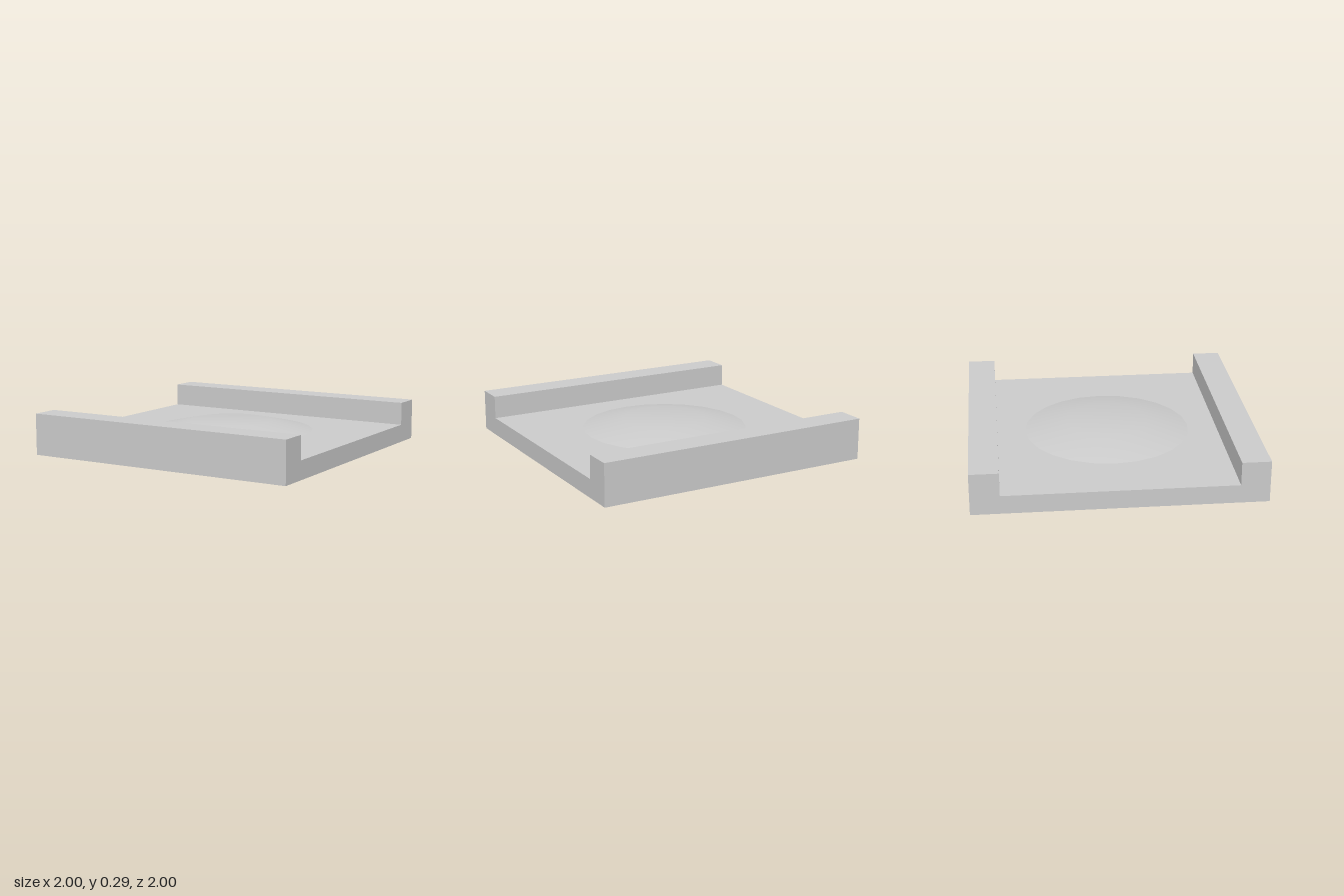
import * as THREE from 'three';

export function createModel() {
  const group = new THREE.Group();
  const material = new THREE.MeshStandardMaterial({ color: 0xcccccc });
  const railTop = 0.295, floorTop = 0.13, moundTop = 0.196;

  // Channel base: U-shaped section in (z, y), extruded along x
  const section = new THREE.Shape([
    [-1, 0], [1, 0], [1, railTop], [0.8, railTop],
    [0.8, floorTop], [-0.8, floorTop], [-0.8, railTop], [-1, railTop],
  ].map(([z, y]) => new THREE.Vector2(z, y)));
  const baseGeometry = new THREE.ExtrudeGeometry(section, { depth: 2, bevelEnabled: false });
  baseGeometry.translate(0, 0, -1).rotateY(Math.PI / 2);
  const base = new THREE.Mesh(baseGeometry, material);
  base.name = 'channelBase';
  group.add(base);

  // Low round mound with a flat top, smooth shaded
  const profile = [[0.6, floorTop - 0.001], [0.295, moundTop], [0, moundTop]]
    .map(([r, y]) => new THREE.Vector2(r, y));
  const mound = new THREE.Mesh(new THREE.LatheGeometry(profile, 24), material);
  mound.name = 'centreMound';
  group.add(mound);

  return group;
}
